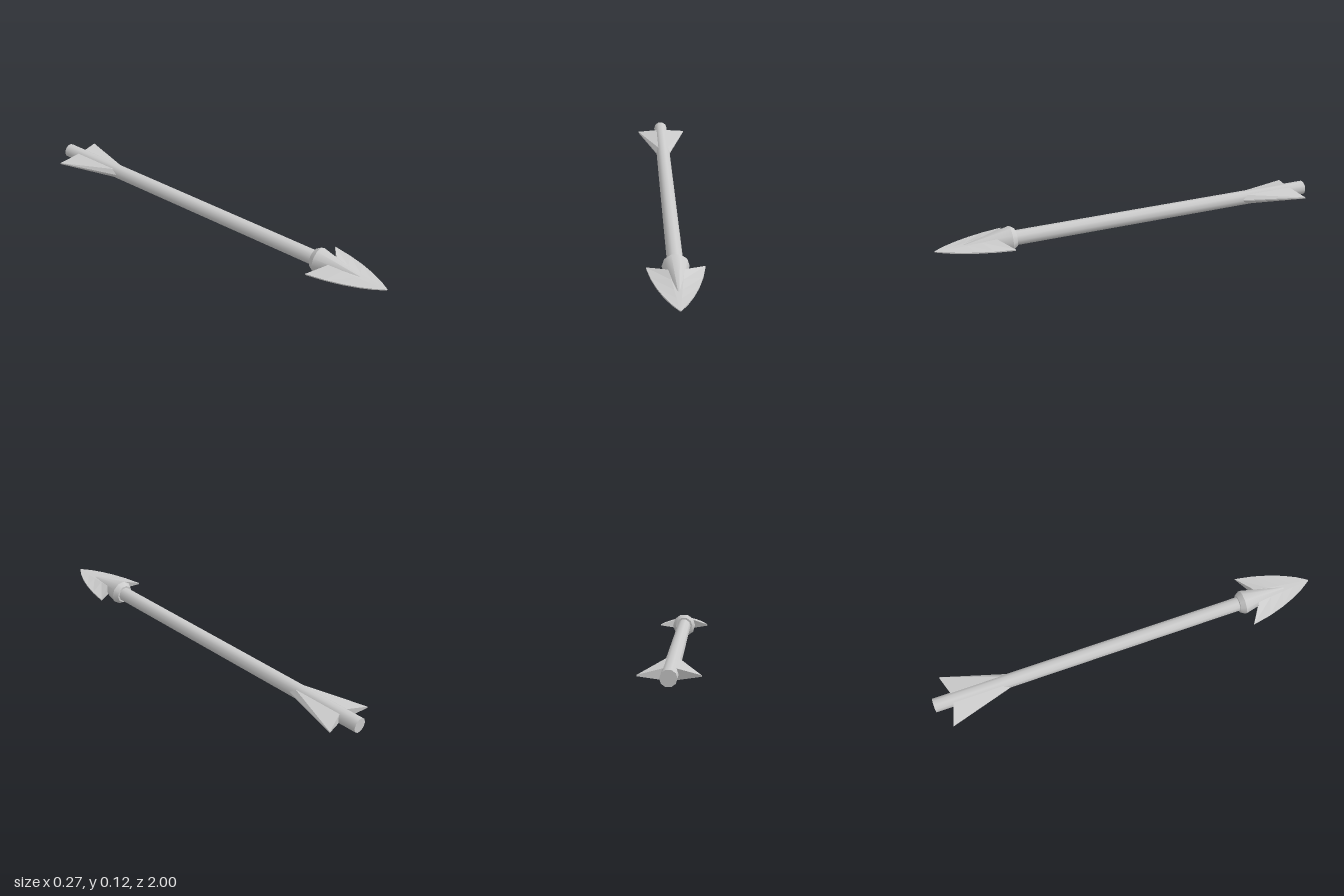
import * as THREE from 'three';

const AXIS_Y = 0.061;
const grey = new THREE.MeshStandardMaterial({ color: 0xcccccc });
const flatGrey = new THREE.MeshStandardMaterial({ color: 0xcccccc, flatShading: true });

// Ten-sided tapered piece lying along z, with a flat facing up
function tube(name, zBack, zFront, rBack, rFront, open = false) {
  const length = zFront - zBack;
  const geo = new THREE.CylinderGeometry(rFront, rBack, length, 10, 1, open, Math.PI / 10);
  geo.rotateX(Math.PI / 2).translate(0, AXIS_Y, zBack + length / 2);
  const mesh = new THREE.Mesh(geo, grey);
  mesh.name = name;
  return mesh;
}

// Tapered plate on the +x side. Rows run from back to front;
// each row lists [x, z, halfThickness] from the outer edge inwards.
function plate(rows) {
  const pos = [];
  const top = ([x, z, h]) => [x, h, z];
  const low = ([x, z, h]) => [x, -h, z];
  const quad = (a, b, c, d) => pos.push(...a, ...b, ...c, ...a, ...c, ...d);
  const last = rows.length - 1;
  for (let i = 0; i < last; i++) {
    const p = rows[i], q = rows[i + 1];
    for (let j = 0; j < p.length - 1; j++) {
      quad(top(p[j]), top(p[j + 1]), top(q[j + 1]), top(q[j]));
      quad(low(p[j]), low(q[j]), low(q[j + 1]), low(p[j + 1]));
    }
    quad(top(p[0]), top(q[0]), low(q[0]), low(p[0]));
  }
  // end walls
  for (let j = 0; j < rows[0].length - 1; j++) {
    const [a, d] = [rows[0][j], rows[0][j + 1]];
    quad(top(a), low(a), low(d), top(d));
    const [e, f] = [rows[last][j], rows[last][j + 1]];
    quad(top(e), top(f), low(f), low(e));
  }
  const geo = new THREE.BufferGeometry();
  geo.setAttribute('position', new THREE.Float32BufferAttribute(pos, 3));
  geo.computeVertexNormals();
  return geo;
}

// Same plate on both sides, turned half a circle about the shaft
function pair(name, geo) {
  const group = new THREE.Group();
  group.name = name;
  group.position.y = AXIS_Y;
  [['left', 0], ['right', Math.PI]].forEach(([side, turn]) => {
    const mesh = new THREE.Mesh(geo, flatGrey);
    mesh.name = side + name[0].toUpperCase() + name.slice(1);
    mesh.rotation.z = turn;
    group.add(mesh);
  });
  return group;
}

export function createModel() {
  const model = new THREE.Group();
  model.name = 'arrow';

  // shaft, collar and the cone that carries the blade
  model.add(tube('shaft', -1, 0.62, 0.037, 0.037));
  model.add(tube('collar', 0.61, 0.635, 0.047, 0.063));
  model.add(tube('socketCone', 0.635, 0.9, 0.063, 0.001, true));

  // barbed head: curved thin edge, thick hollow-ground middle
  const edge = [[0.133, 0.645], [0.115, 0.74], [0.092, 0.82], [0.065, 0.89], [0.035, 0.95], [0.003, 1]];
  const ridge = [[0.035, 0.71, 0.027], [0.026, 0.78, 0.017], [0.018, 0.85, 0.01],
    [0.011, 0.91, 0.006], [0.006, 0.96, 0.004], [0.0015, 1, 0.002]];
  const blade = edge.map(([x, z], i) => [[x, z, i === 5 ? 0.002 : 0.003], ridge[i], [0, ridge[i][1], ridge[i][2]]]);
  model.add(pair('blade', plate(blade)));

  // tail fins: thick at the shaft, thin outside
  const fin = [
    [[0.133, -0.94, 0.003], [0.026, -0.905, 0.025]],
    [[0.037, -0.62, 0.003], [0.026, -0.645, 0.025]],
  ];
  model.add(pair('fin', plate(fin)));

  return model;
}
